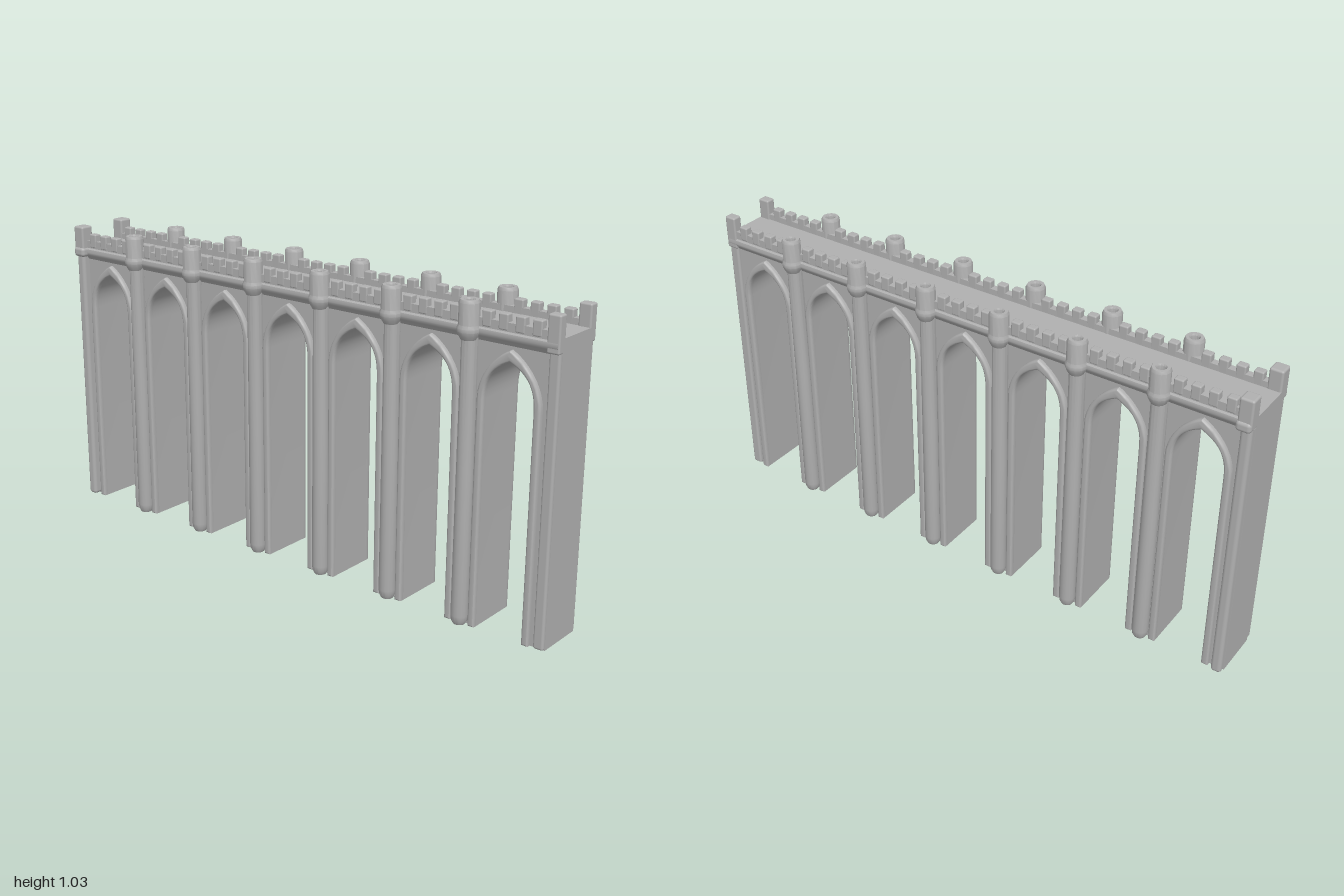
import * as THREE from 'three';
import { toCreasedNormals } from 'three/addons/utils/BufferGeometryUtils.js';
import { RoundedBoxGeometry } from 'three/addons/geometries/RoundedBoxGeometry.js';

const BAY = 0.28;        // spacing of the arches
const HALF = 0.085;      // half width of an opening
const stone = new THREE.MeshStandardMaterial({ color: 0xb0b0b0 });
stone.name = 'stone';

const crease = (g) => toCreasedNormals(g, 0.6);

// Pointed arch from its left foot over the apex to its right foot
function archPoints(half, apex, foot = 0) {
  const right = new THREE.CubicBezierCurve(
    new THREE.Vector2(half, 0.74), new THREE.Vector2(half, 0.825),
    new THREE.Vector2(0.042, apex - 0.02), new THREE.Vector2(0, apex)).getPoints(10);
  const left = right.map((p) => new THREE.Vector2(-p.x, p.y));
  return [new THREE.Vector2(-half, foot), ...left, ...right.reverse().slice(1), new THREE.Vector2(half, foot)];
}

// Extrude a (z, y) shape across x, starting at x = from
function extrudeAcross(shape, from, depth, bevel = 0) {
  const g = new THREE.ExtrudeGeometry(shape, {
    depth: depth - 2 * bevel, bevelEnabled: bevel > 0, bevelSize: bevel,
    bevelThickness: bevel, bevelOffset: -bevel, bevelSegments: 3,
  });
  g.rotateY(-Math.PI / 2);              // depth now runs along -x
  g.translate(from + depth - bevel, 0, 0);
  return crease(g);
}

function lathe(points, sides) {
  return crease(new THREE.LatheGeometry(points.map(([r, y]) => new THREE.Vector2(r, y)), sides));
}

export function createModel() {
  const model = new THREE.Group();
  model.name = 'arcadeBridge';
  const add = (name, geometry, x = 0, y = 0, z = 0, turn = 0) => {
    const mesh = new THREE.Mesh(geometry, stone);
    mesh.name = name;
    mesh.position.set(x, y, z);
    mesh.rotation.y = turn;
    model.add(mesh);
    return mesh;
  };

  // Main wall with seven arches open at the foot
  const outline = [new THREE.Vector2(-1, 0.965), new THREE.Vector2(-1, 0)];
  for (let i = -3; i <= 3; i++) {
    for (const p of archPoints(HALF, 0.87)) outline.push(new THREE.Vector2(p.x + i * BAY, p.y));
  }
  outline.push(new THREE.Vector2(1, 0), new THREE.Vector2(1, 0.965));
  add('archedWall', extrudeAcross(new THREE.Shape(outline), -0.083, 0.166));

  // Shared geometry
  const band = [...archPoints(HALF, 0.87), ...archPoints(0.108, 0.905).reverse()];
  const frameGeo = extrudeAcross(new THREE.Shape(band), 0.074, 0.026, 0.007);

  const corniceShape = new THREE.Shape([
    [0.07, 0.915], [0.085, 0.915], [0.092, 0.925], [0.1, 0.932], [0.104, 0.942],
    [0.102, 0.953], [0.097, 0.958], [0.097, 0.985], [0.072, 0.985],
  ].map(([x, y]) => new THREE.Vector2(x, y)));
  const corniceGeo = new THREE.ExtrudeGeometry(corniceShape, { depth: 1.99, bevelEnabled: false });
  corniceGeo.translate(0, 0, -0.995);
  const corniceSmooth = crease(corniceGeo);

  const columnGeo = lathe([[0, 0], [0.02, 0], [0.026, 0.012], [0.028, 0.03], [0.027, 0.5], [0.026, 0.93]], 16);
  const turretGeo = lathe([
    [0.024, 0.915], [0.031, 0.927], [0.036, 0.94], [0.036, 0.95], [0.032, 0.96], [0.032, 1.026],
    [0.028, 1.035], [0.018, 1.035], [0.015, 1.03], [0.015, 1.01], [0, 1.01],
  ], 12);
  const merlonGeo = new RoundedBoxGeometry(0.027, 0.05, 0.032, 2, 0.005);

  for (const side of [-1, 1]) {
    const turn = side > 0 ? 0 : Math.PI;
    add('corniceAndParapet', corniceSmooth, 0, 0, 0, turn);

    for (let i = -3; i <= 3; i++) {
      add('archMoulding', frameGeo, 0, 0, i * BAY, turn);
      // Four merlons between each pair of turrets
      for (let k = 0; k < 4; k++) {
        add('merlon', merlonGeo, side * 0.085, 0.985, i * BAY + (k - 1.5) * 0.056);
      }
    }

    for (let i = -2.5; i <= 2.5; i++) {
      add('column', columnGeo, side * 0.094, 0, i * BAY);
      add('turret', turretGeo, side * 0.102, 0, i * BAY);
    }

    // Corner posts: slim at the front end, wider with a pilaster at the back
    add('frontCornerPost', new RoundedBoxGeometry(0.034, 0.115, 0.042, 3, 0.006), side * 0.085, 0.9775, 0.979);
    add('backCornerPost', new RoundedBoxGeometry(0.048, 0.105, 0.046, 3, 0.007), side * 0.094, 0.9825, -0.977);
    add('backCornerCorbel', new RoundedBoxGeometry(0.052, 0.035, 0.05, 3, 0.012), side * 0.098, 0.943, -0.975);
    add('backPilaster', new RoundedBoxGeometry(0.05, 0.94, 0.036, 4, 0.012), side * 0.086, 0.47, -0.981);
    add('frontPilaster', new RoundedBoxGeometry(0.04, 0.94, 0.036, 4, 0.008), side * 0.074, 0.47, 0.981);
  }
  return model;
}
